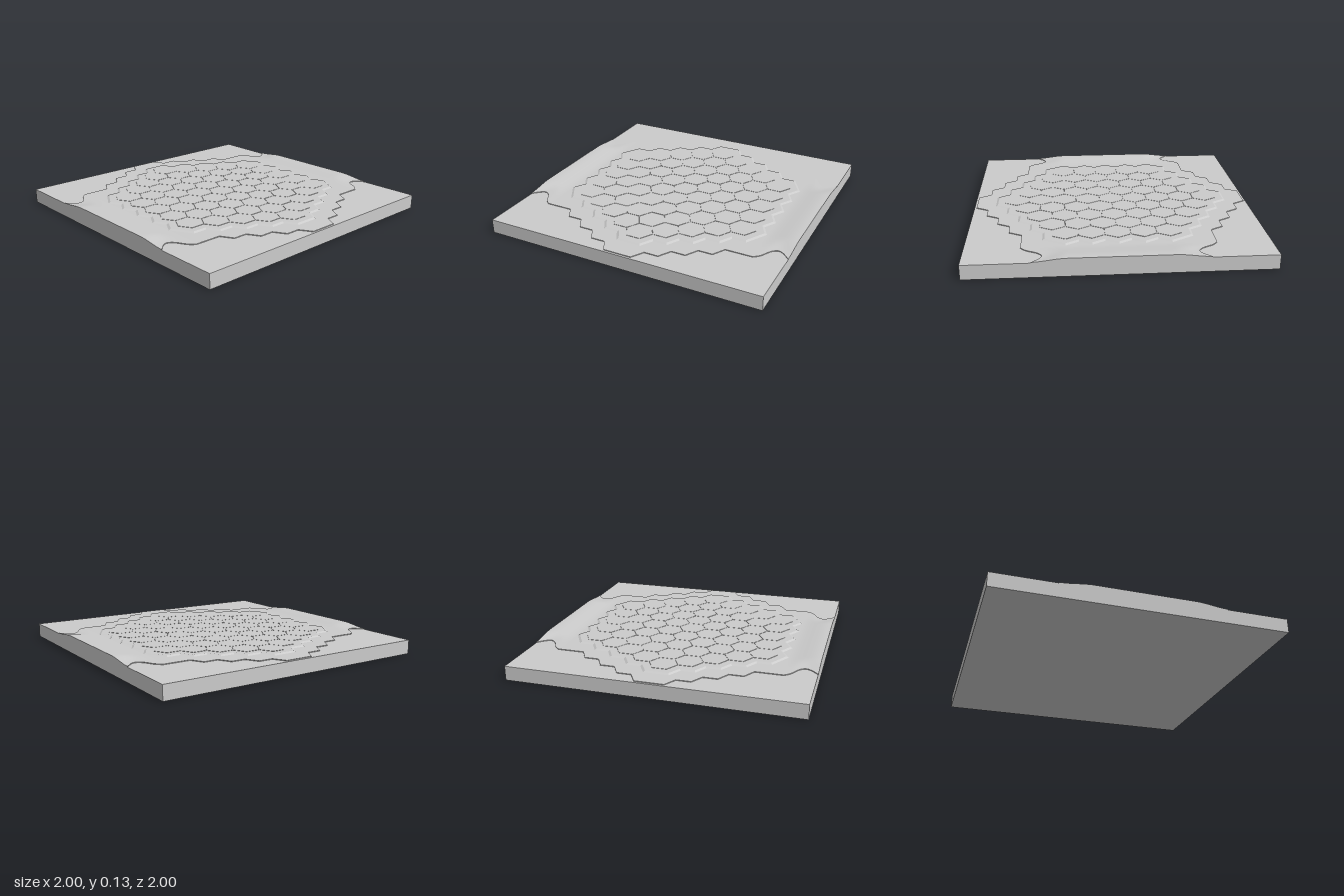
import * as THREE from 'three';
import { toCreasedNormals } from 'three/addons/utils/BufferGeometryUtils.js';

const R = 0.1003;                 // tile corner radius
const A = R * Math.sqrt(3) / 2;   // tile half height
const RINGS = 4;
const BASE = 0.1, TERRACE = 0.105, PLATE = 0.113, TILE = 0.115, BANK = 0.125;

// Mirror one quadrant (from the z axis round to the x axis) into a closed shape
function mirroredShape(quadrant) {
  const pts = [];
  const add = (x, y) => {
    const last = pts[pts.length - 1];
    if (!last || Math.hypot(last.x - x, last.y - y) > 1e-5) pts.push(new THREE.Vector2(x, y));
  };
  const back = [...quadrant].reverse();
  quadrant.forEach(([x, y]) => add(x, y));
  back.forEach(([x, y]) => add(x, -y));
  quadrant.forEach(([x, y]) => add(-x, -y));
  back.forEach(([x, y]) => add(-x, y));
  return new THREE.Shape(pts);
}

// Wavy end of the side banks, as a half length in z
const wave = new THREE.SplineCurve([
  [0.79, 0.637], [0.83, 0.6], [0.87, 0.53], [0.91, 0.5], [0.95, 0.515], [1, 0.565],
].map(([x, z]) => new THREE.Vector2(x, z))).getPoints(30);

function bankEnd(x) {
  for (let i = 1; i < wave.length; i++) {
    const a = wave[i - 1], b = wave[i];
    if (x <= b.x) return THREE.MathUtils.mapLinear(Math.max(x, a.x), a.x, b.x, a.y, b.y);
  }
  return wave[wave.length - 1].y;
}

// Stepped terrace outline
function terraceShape() {
  const q = [[0.1, 0.985]];
  for (let k = 1; k <= 3; k++) {
    const z = 0.985 - k * A;
    q.push([k * 0.15, z], [k * 0.15 + 0.1, z]);
  }
  q.push([0.6, 0.637]);
  wave.forEach(p => q.push([Math.min(p.x, 1), p.y]));
  return mirroredShape(q);
}

// Outer edge of the whole field of tiles
function fieldShape() {
  const q = [];
  for (let k = 0; k <= RINGS; k++) {
    const z = (2 * RINGS + 1 - k) * A, x = 1.5 * R * k;
    if (k > 0) q.push([x - R / 2, z]);
    q.push([x + R / 2, z]);
  }
  for (let j = RINGS; j >= 0; j--) {
    q.push([1.5 * R * RINGS + (j % 2 ? R / 2 : R), j * A]);
  }
  return mirroredShape(q);
}

// Side bank: a grid raised by a smooth rule, with its last column as a wall
function bankGeometry() {
  const nx = 20, nz = 64;
  const geo = new THREE.PlaneGeometry(1, 1, nx, nz).rotateX(-Math.PI / 2);
  const pos = geo.attributes.position;
  const smooth = THREE.MathUtils.smoothstep;
  for (let i = 0; i < pos.count; i++) {
    const u = (pos.getX(i) + 0.5) * nx / (nx - 1);
    const x = 0.78 + 0.22 * Math.min(1, u);
    const end = bankEnd(x);
    const z = pos.getZ(i) * 2 * end;
    const rise = smooth(x, 0.775, 0.98) * (1 - smooth(Math.abs(z), 0.34, end));
    const y = u > 1.001 ? BASE : TERRACE + 0.0002 + (BANK - TERRACE) * rise;
    pos.setXYZ(i, x, y, z);
  }
  return toCreasedNormals(geo, 0.6);
}

export function createModel() {
  const model = new THREE.Group();
  const material = new THREE.MeshStandardMaterial({ color: 0xcccccc });
  const flat = new THREE.MeshStandardMaterial({ color: 0xcccccc, flatShading: true });
  const part = (name, geo, mat, parent = model) => {
    const mesh = new THREE.Mesh(geo, mat);
    mesh.name = name;
    parent.add(mesh);
    return mesh;
  };

  // Square slab
  part('slab', new THREE.BoxGeometry(2, BASE, 2), material).position.y = BASE / 2;

  // Low stepped terrace
  const terrace = new THREE.ExtrudeGeometry(terraceShape(), {
    depth: TERRACE - BASE + 0.01, bevelEnabled: false,
  }).rotateX(-Math.PI / 2);
  part('terrace', terrace, flat).position.y = BASE - 0.01;

  // Bevelled border plate under the tiles
  const bevel = PLATE - TERRACE;
  const plate = new THREE.ExtrudeGeometry(fieldShape(), {
    depth: 0.01, bevelThickness: bevel, bevelSize: 0.015, bevelOffset: 0.05, bevelSegments: 1,
  }).rotateX(-Math.PI / 2);
  part('borderPlate', plate, flat).position.y = PLATE - 2 * bevel - 0.01 + bevel;

  // Hexagonal tiles in columns
  const tiles = new THREE.Group();
  tiles.name = 'tiles';
  const tileGeo = new THREE.CylinderGeometry(R * 0.98, R * 0.99, TILE - PLATE + 0.002, 6)
    .rotateY(Math.PI / 6);
  for (let c = -RINGS; c <= RINGS; c++) {
    const count = 2 * RINGS + 1 - Math.abs(c);
    for (let r = 0; r < count; r++) {
      part('tile', tileGeo, flat, tiles)
        .position.set(1.5 * R * c, (TILE + PLATE) / 2 - 0.001, (2 * r - count + 1) * A);
    }
  }
  model.add(tiles);

  // Rising banks on both sides
  const bank = bankGeometry();
  part('leftBank', bank, material);
  part('rightBank', bank, material).rotation.y = Math.PI;

  return model;
}
